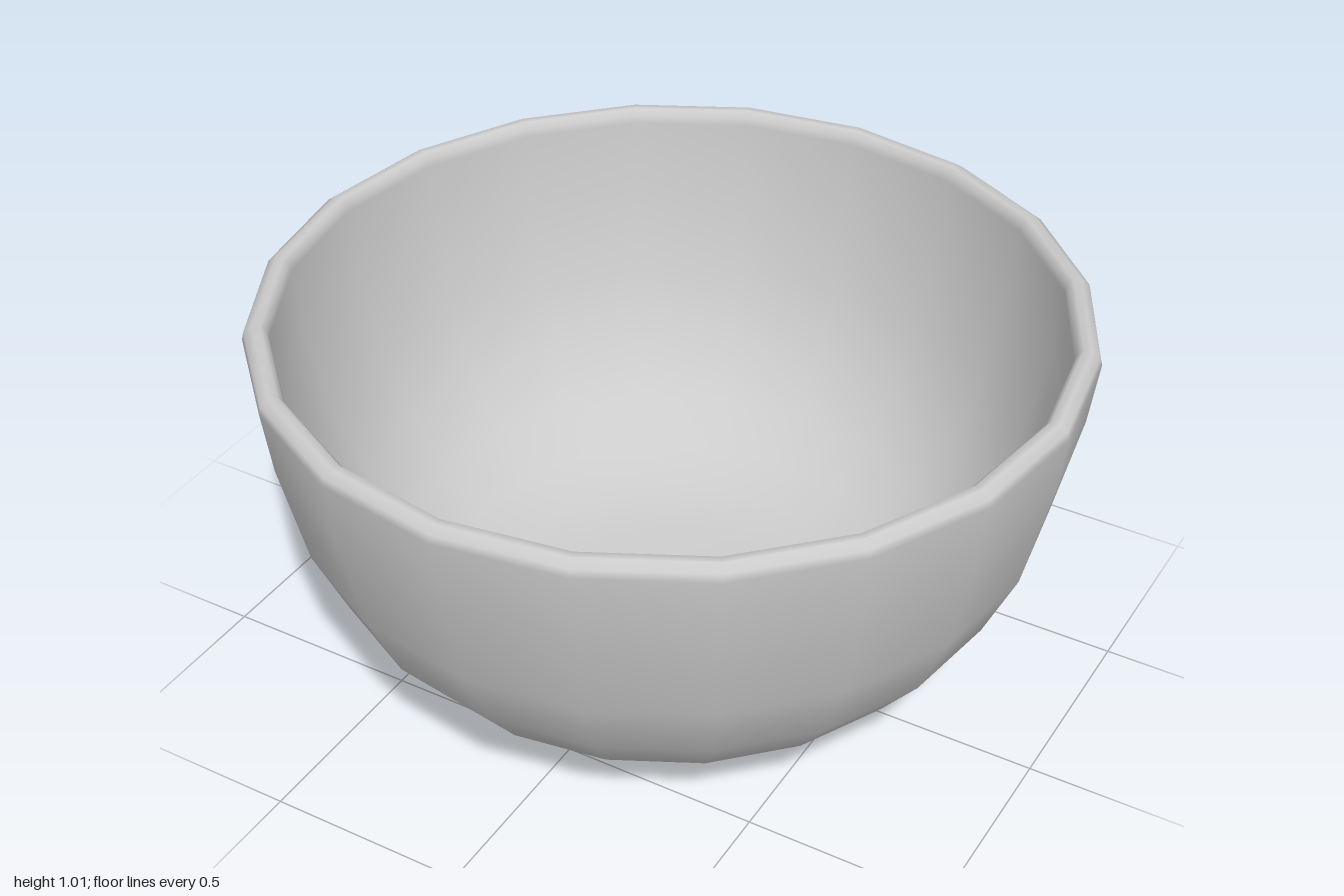
import * as THREE from 'three';

const SIDES = 20;

export function createModel() {
  const group = new THREE.Group();
  const material = new THREE.MeshStandardMaterial({ color: 0xcccccc });

  // Revolves a radius/height profile around the y axis
  function addTurned(name, profile) {
    const points = profile.map(([r, y]) => new THREE.Vector2(r, y));
    const mesh = new THREE.Mesh(new THREE.LatheGeometry(points, SIDES), material);
    mesh.name = name;
    group.add(mesh);
  }

  // Outer wall, rounded rim and inner wall in one continuous shell
  addTurned('bowl', [
    [0.31, 0.065], [0.36, 0.07], [0.47, 0.095], [0.6, 0.145], [0.73, 0.23],
    [0.84, 0.37], [0.92, 0.55], [0.98, 0.82], [1, 0.98],
    [0.995, 1], [0.975, 1.015], [0.955, 1.015], [0.942, 1], [0.938, 0.98],
    [0.925, 0.82], [0.87, 0.57], [0.79, 0.4], [0.69, 0.27], [0.57, 0.19],
    [0.44, 0.14], [0.3, 0.115], [0, 0.105],
  ]);

  // Foot ring: inner wall, rounded underside, flared outer wall
  addTurned('footRing', [
    [0.305, 0.07], [0.305, 0.015], [0.31, 0.004], [0.32, 0], [0.332, 0.002],
    [0.343, 0.015], [0.352, 0.04], [0.362, 0.072],
  ]);

  // Flat base recessed inside the foot ring
  addTurned('recessedBase', [[0, 0.045], [0.31, 0.045]]);

  return group;
}
